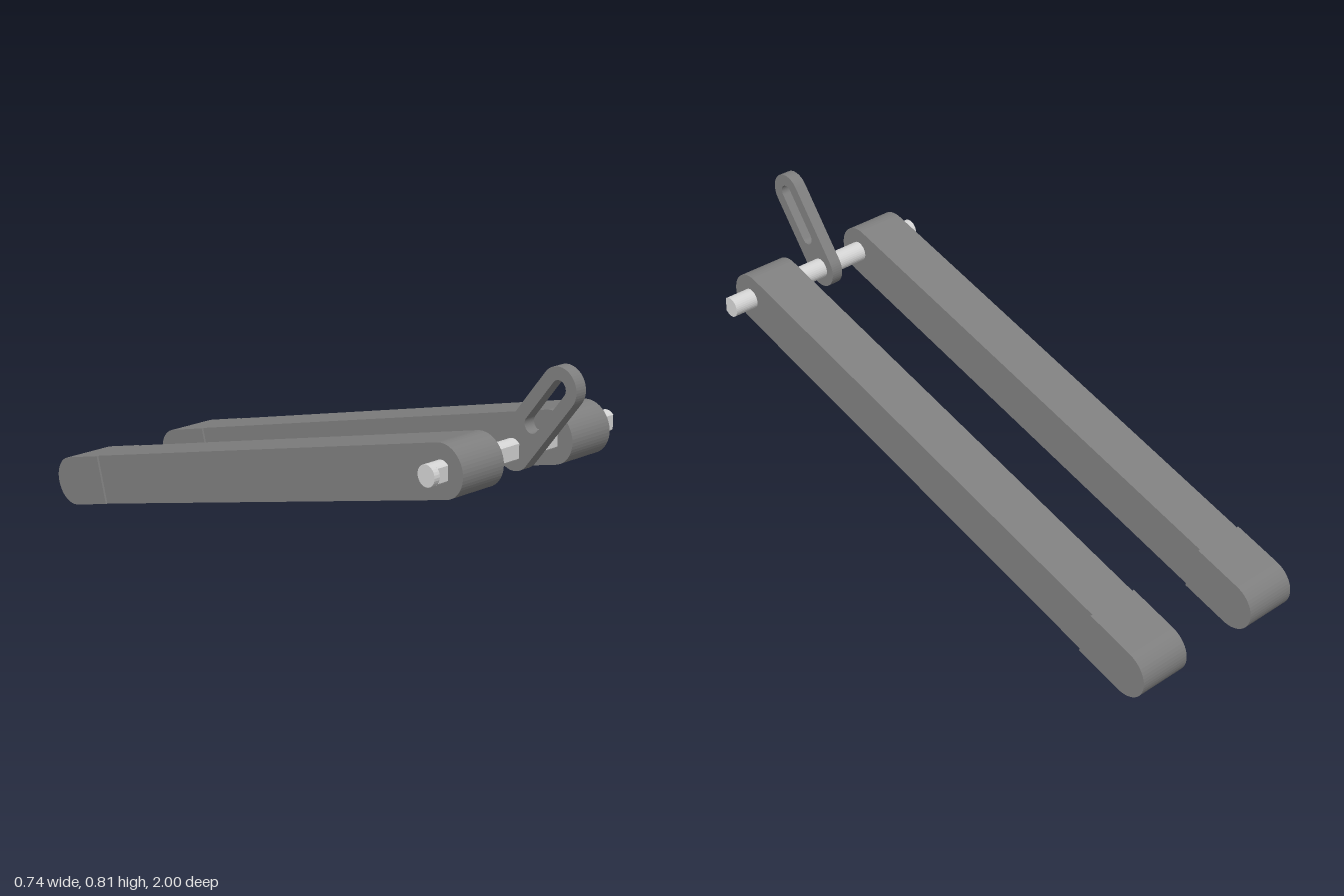
import * as THREE from 'three';

const grey = new THREE.MeshStandardMaterial({ name: 'darkGrey', color: 0x808080 });
const light = new THREE.MeshStandardMaterial({ name: 'lightGrey', color: 0xd6d6d6 });

// Side profiles are drawn as (z, y) and extruded along x.
const pivot = new THREE.Vector2(0.776, 0.535);
const foot = new THREE.Vector2(-0.92, 0.08);
const armRadius = 0.08;

// Bar outline from a to b; each end is either round or cut square.
function bar(a, b, r, roundA = true, roundB = true, Type = THREE.Shape) {
  const t = Math.atan2(b.y - a.y, b.x - a.x), q = Math.PI / 2;
  const n = new THREE.Vector2(-Math.sin(t), Math.cos(t)).multiplyScalar(r);
  const s = new Type();
  s.moveTo(a.x - n.x, a.y - n.y);
  s.lineTo(b.x - n.x, b.y - n.y);
  if (roundB) s.absarc(b.x, b.y, r, t - q, t + q, false);
  else s.lineTo(b.x + n.x, b.y + n.y);
  s.lineTo(a.x + n.x, a.y + n.y);
  if (roundA) s.absarc(a.x, a.y, r, t + q, t + 3 * q, false);
  s.closePath();
  return s;
}

function extrudeX(name, shape, x0, x1, material) {
  const geo = new THREE.ExtrudeGeometry(shape, { depth: x1 - x0, bevelEnabled: false, curveSegments: 12 });
  geo.rotateY(-Math.PI / 2).translate(x1, 0, 0);
  const mesh = new THREE.Mesh(geo, material);
  mesh.name = name;
  return mesh;
}

export function createModel() {
  const model = new THREE.Group();
  model.name = 'twinArmLever';

  // Two sloping arms, each with a slightly wider rounded tip
  const cut = foot.clone().lerp(pivot, 0.163 / foot.distanceTo(pivot));
  for (const [side, x] of [['right', -0.232], ['left', 0.21]]) {
    model.add(extrudeX(side + 'Arm', bar(pivot, cut, armRadius, true, false), x - 0.08, x + 0.08, grey));
    model.add(extrudeX(side + 'ArmTip', bar(cut, foot, armRadius, false, true), x - 0.0865, x + 0.0865, grey));
  }

  // Cross shaft with a flat along its front, and a full round end
  const r = 0.0325, flat = Math.acos(0.024 / r);
  const section = new THREE.Shape();
  section.absarc(pivot.x, pivot.y, r, flat, 2 * Math.PI - flat, false);
  section.closePath();
  model.add(extrudeX('shaft', section, -0.352, 0.371, light));
  const round = new THREE.Shape();
  round.absarc(pivot.x, pivot.y, r, 0, 2 * Math.PI, false);
  model.add(extrudeX('shaftEnd', round, -0.372, -0.352, light));

  // Slotted lever in the middle of the shaft
  const tip = new THREE.Vector2(0.938, 0.745);
  const lever = bar(pivot, tip, 0.063);
  const slotStart = pivot.clone().lerp(tip, 0.41);
  lever.holes.push(bar(slotStart, tip, 0.025, true, true, THREE.Path));
  model.add(extrudeX('slottedLever', lever, -0.03, 0.009, grey));

  return model;
}
